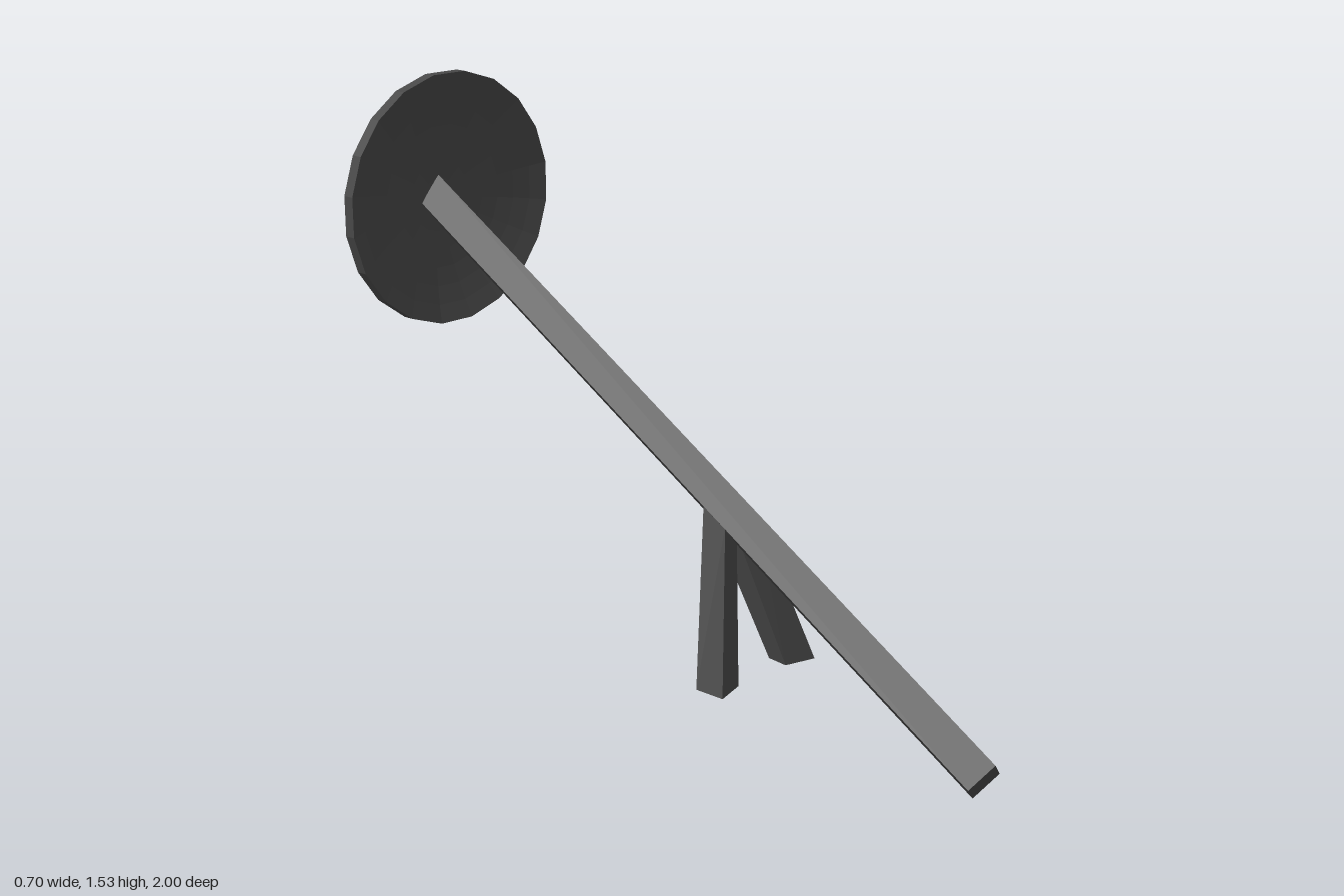
import * as THREE from 'three';

const SIDES = 20, RADIUS = 0.352, SAG = 0.062, THICK = 0.034;

// Box whose eight corners are placed by a rule of their signs
function block(name, material, corner) {
  const geometry = new THREE.BoxGeometry(2, 2, 2);
  const p = geometry.attributes.position;
  for (let i = 0; i < p.count; i++) p.setXYZ(i, ...corner(p.getX(i), p.getY(i), p.getZ(i)));
  geometry.computeVertexNormals();
  const mesh = new THREE.Mesh(geometry, material);
  mesh.name = name;
  return mesh;
}

export function createModel() {
  const group = new THREE.Group();
  group.name = 'stakedDish';
  const metal = new THREE.MeshStandardMaterial({ color: 0x484848, flatShading: true });
  metal.name = 'darkGrey';

  // Diamond-section pole rising 30 degrees, its back end set into the dish
  const half = 0.062, tilt = Math.PI / 6, endZ = -0.975;
  group.add(block('pole', metal, (sx, sy, sz) => {
    const up = half * (sx + sy) / 2;
    const x = half * (sx - sy) / 2;
    const y = 0.055 + up * Math.cos(tilt), z = 0.969 + up * Math.sin(tilt);
    return sz > 0 ? [x, y, z] : [x, y + (z - endZ) * Math.tan(tilt), endZ];
  }));

  // Splayed legs; keys are outer/inner, top/bottom, front/back
  const corners = {
    otf: [0.060, 0.51, 0.185], otb: [0.060, 0.55, 0.110],
    itf: [0.000, 0.47, 0.170], itb: [-0.005, 0.50, 0.080],
    obf: [0.176, 0.11, 0.287], obb: [0.180, 0.11, 0.200],
    ibf: [0.090, 0.11, 0.262], ibb: [0.095, 0.11, 0.200],
  };
  for (const side of [1, -1]) {
    group.add(block(side > 0 ? 'leftLeg' : 'rightLeg', metal, (sx, sy, sz) => {
      const key = (sx * side > 0 ? 'o' : 'i') + (sy > 0 ? 't' : 'b') + (sz > 0 ? 'f' : 'b');
      const [x, y, z] = corners[key];
      return [x * side, y, z];
    }));
  }

  // Shallow hollow dish: inner curve out to the rim, outer curve back to the axis
  const rings = 7, inner = [], outer = [];
  for (let i = 0; i <= rings; i++) {
    const t = i / rings, y = SAG * (1 - t * t);
    inner.push(new THREE.Vector2(RADIUS * t, y));
    outer.unshift(new THREE.Vector2(RADIUS * t, y + THICK));
  }
  const dishGeometry = new THREE.LatheGeometry([...inner, ...outer], SIDES, Math.PI / SIDES);
  dishGeometry.rotateX(-Math.PI / 2);
  const dish = new THREE.Mesh(dishGeometry, metal);
  dish.name = 'dish';
  dish.position.set(0, 1.184, -1 + SAG + THICK);
  group.add(dish);

  return group;
}
